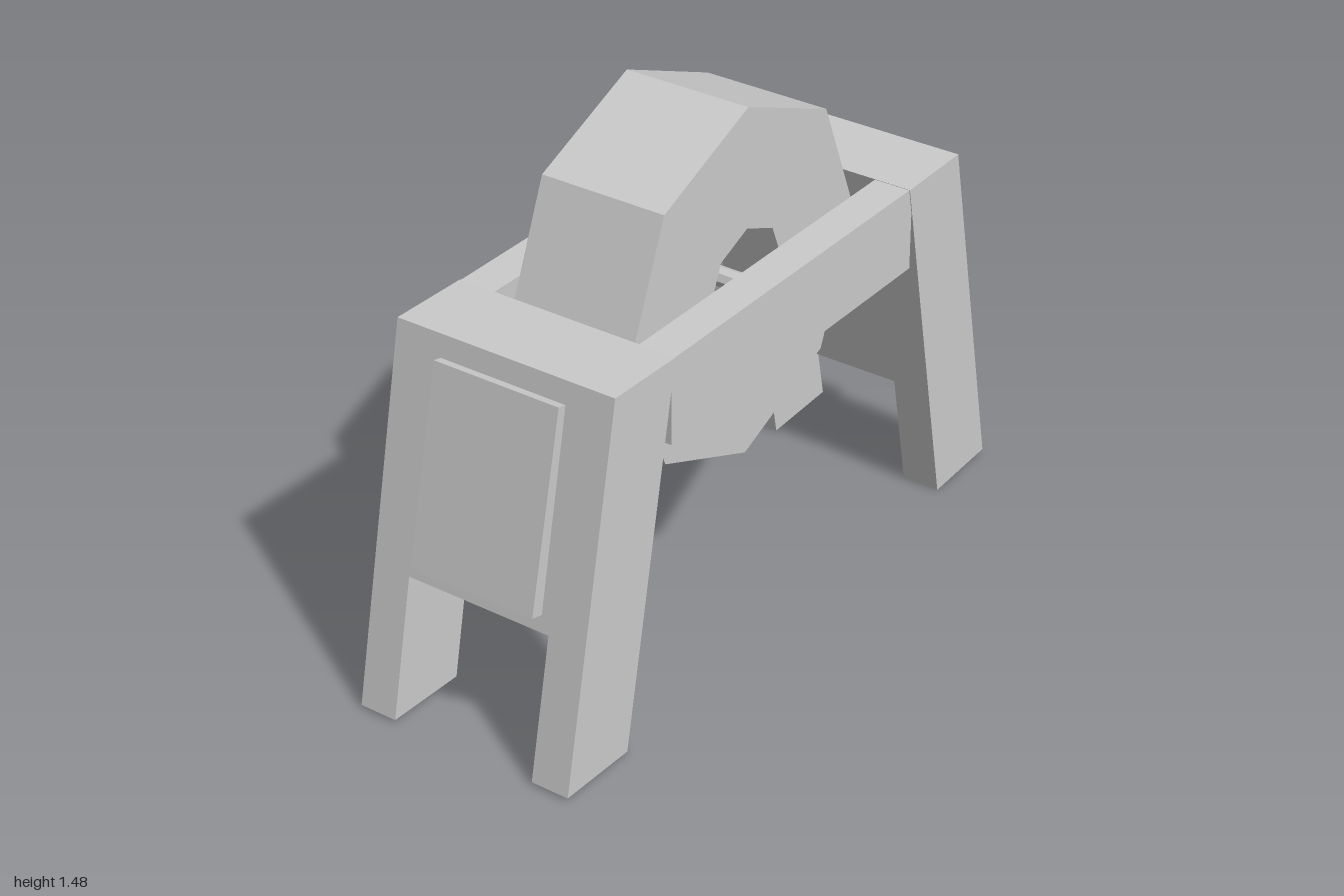
import * as THREE from 'three';

const material = new THREE.MeshStandardMaterial({ color: 0xcccccc, flatShading: true });

function add(group, name, geometry) {
  const mesh = new THREE.Mesh(geometry, material);
  mesh.name = name;
  group.add(mesh);
  return mesh;
}

const points = (list) => list.map(([a, b]) => new THREE.Vector2(a, b));

// Corners of a regular octagon with one corner straight up
const octagon = (radius, cy) => points(Array.from({ length: 8 }, (_, i) => {
  const a = (i * Math.PI) / 4;
  return [radius * Math.sin(a), cy + radius * Math.cos(a)];
}));

// Side profile given as (z, y) points, extruded from x0 to x1
function sideProfile(profile, x0, x1, hole) {
  const shape = new THREE.Shape(profile);
  if (hole) shape.holes.push(new THREE.Path(hole));
  const geometry = new THREE.ExtrudeGeometry(shape, { depth: x1 - x0, bevelEnabled: false });
  return geometry.rotateY(-Math.PI / 2).translate(x1, 0, 0);
}

// Slab with two feet, leaning inward towards the top
function trestleGeometry() {
  const w = 0.335, n = 0.222, notch = 0.36, top = 1.06;
  const shape = new THREE.Shape(points([
    [-w, 0], [-n, 0], [-n, notch], [n, notch], [n, 0], [w, 0], [w, top], [-w, top],
  ]));
  const geometry = new THREE.ExtrudeGeometry(shape, { depth: 1, bevelEnabled: false });
  const p = geometry.attributes.position;
  for (let i = 0; i < p.count; i++) {
    const v = p.getY(i), t = p.getZ(i);
    // the underside of the notch and the feet rise slightly outward
    const rise = v < 0.1 ? 0.01 : v < 0.5 ? 0.05 : 0.005;
    const y = v + rise * t;
    const inner = 0.75 - 0.203 * y, outer = 1.002 - 0.208 * y;
    p.setXYZ(i, p.getX(i), y, inner + (outer - inner) * t);
  }
  geometry.computeVertexNormals();
  return geometry;
}

export function createModel() {
  const model = new THREE.Group();
  model.name = 'wheelStand';
  const axisY = 0.965;

  // Leaning end frames
  add(model, 'frontTrestle', trestleGeometry());
  add(model, 'backTrestle', trestleGeometry()).rotation.y = Math.PI;

  // Raised panels on the end frames
  add(model, 'frontPanel', sideProfile(
    points([[0.88, 0.45], [0.945, 0.465], [0.82, 1.01], [0.76, 0.996]]), -0.19, 0.195));
  add(model, 'backPanel', sideProfile(
    points([[-0.88, 0.447], [-0.76, 0.969], [-0.815, 0.982], [-0.94, 0.462]]), -0.198, 0.182));

  // Side rails joining the end frames
  for (const side of [-1, 1]) {
    const rail = new THREE.BoxGeometry(0.108, 0.243, 1.1);
    rail.translate(side * 0.279, 0.9375, 0);
    add(model, side > 0 ? 'leftRail' : 'rightRail', rail);
  }

  // Octagonal wheel with an octagonal bore
  add(model, 'wheel', sideProfile(octagon(0.51, axisY), -0.2, 0.177, octagon(0.165, axisY)));

  // Thin axle between the rails
  const axle = new THREE.CylinderGeometry(0.028, 0.028, 0.47, 8);
  axle.rotateZ(Math.PI / 2).translate(0, axisY, 0);
  add(model, 'axle', axle);

  return model;
}
